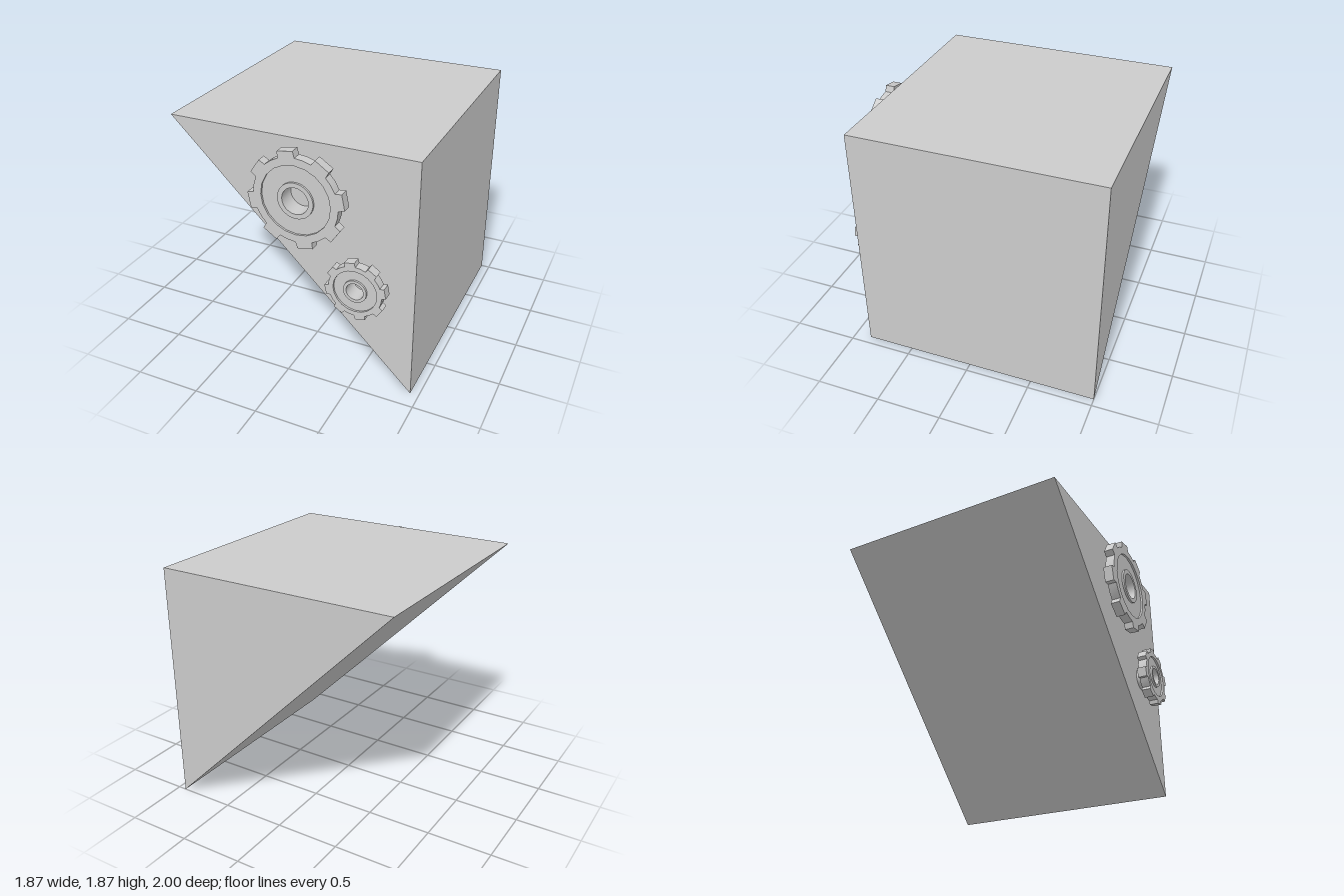
import * as THREE from 'three';
import { toCreasedNormals } from 'three/addons/utils/BufferGeometryUtils.js';

const material = new THREE.MeshStandardMaterial({ color: 0xcccccc });

// Extrudes an outline from z0 to z1, with an optional round hole
function plate(name, points, hole, z0, z1) {
  const shape = new THREE.Shape(points);
  if (hole) shape.holes.push(new THREE.Path(hole));
  const geometry = new THREE.ExtrudeGeometry(shape, { depth: z1 - z0, bevelEnabled: false });
  geometry.translate(0, 0, z0);
  const mesh = new THREE.Mesh(toCreasedNormals(geometry, 0.4), material);
  mesh.name = name;
  return mesh;
}

const polar = (r, degrees) => {
  const a = THREE.MathUtils.degToRad(degrees);
  return new THREE.Vector2(r * Math.cos(a), r * Math.sin(a));
};

const circle = (r, sides) =>
  Array.from({ length: sides }, (_, i) => polar(r, (i * 360) / sides));

// Gear of unit outer radius times size: toothed rim, recessed web and hollow hub
function gear(name, x, y, size, hubRadius, boreRadius) {
  const group = new THREE.Group();
  group.name = name;
  const teeth = 8, tip = size, root = size * 0.87, recess = size * 0.715;
  const outline = [];
  for (let i = 0; i < teeth; i++) {
    const a = 10.5 + (i * 360) / teeth;
    outline.push(
      polar(root, a - 11.5), polar(tip, a - 9.4), polar(tip, a + 9.4),
      polar(root, a + 11.5), polar(root, a + 180 / teeth)
    );
  }
  group.add(
    plate('toothedRim', outline, circle(recess, 20), 0.93, 1),
    plate('recessedWeb', circle(recess, 20), circle(hubRadius, 32), 0.93, 0.985),
    plate('hub', circle(hubRadius, 32), circle(boreRadius, 32), 0.87, 1)
  );
  group.position.set(x, y, 0);
  return group;
}

export function createModel() {
  const model = new THREE.Group();
  model.name = 'wedgeWithGears';

  // Triangular block with a sloping underside
  const h = 0.935;
  const corners = [[h, 0], [h, 2 * h], [-h, 2 * h]].map(([x, y]) => new THREE.Vector2(x, y));
  model.add(plate('wedgeBlock', corners, null, -1, 0.87));

  // Gears on the front face
  model.add(
    gear('largeGear', 0.103, 1.472, 0.366, 0.135, 0.1),
    gear('smallGear', 0.543, 0.867, 0.229, 0.087, 0.064)
  );
  return model;
}
